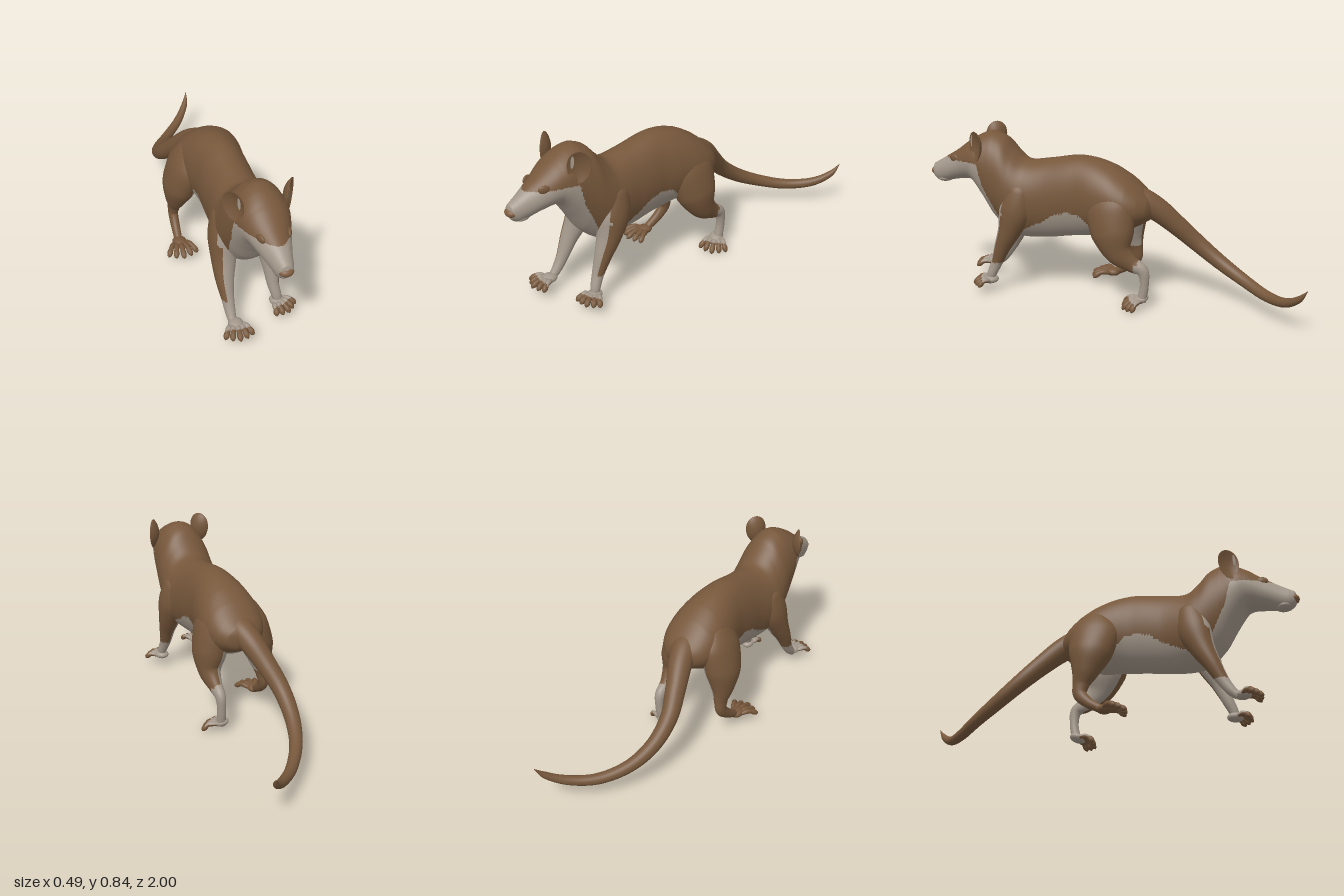
import * as THREE from 'three';

const brown = new THREE.MeshStandardMaterial({ color: 0x76573b });
brown.name = 'brown fur';
const pale = new THREE.MeshStandardMaterial({ color: 0xa3978a });
pale.name = 'pale fur';
const noseBrown = new THREE.MeshStandardMaterial({ color: 0x7f5d40 });
noseBrown.name = 'nose skin';

// Smooth loft through stations [x, y, z, halfWidth, halfDepth].
// isPale(point, cos, sin) picks the colour of each face.
function loft(name, stations, { steps = 8, sides = 32, isPale = () => false, upright = false } = {}) {
  const path = new THREE.CatmullRomCurve3(stations.map(s => new THREE.Vector3(s[0], s[1], s[2])));
  const size = new THREE.CatmullRomCurve3(stations.map(s => new THREE.Vector3(s[3], s[4] ?? s[3], 0)));
  const rings = (stations.length - 1) * steps;
  const points = [];
  for (let i = 0; i <= rings; i++) {
    const c = path.getPoint(i / rings), r = size.getPoint(i / rings);
    const t = upright ? new THREE.Vector3(0, 0, 1) : path.getTangent(i / rings);
    const side = new THREE.Vector3(1, 0, 0).addScaledVector(t, -t.x).normalize();
    const up = t.clone().cross(side);
    for (let j = 0; j < sides; j++) {
      const a = j / sides * Math.PI * 2;
      points.push(c.clone()
        .addScaledVector(side, Math.cos(a) * Math.max(r.x, 0.001))
        .addScaledVector(up, Math.sin(a) * Math.max(r.y, 0.001)));
    }
  }
  const faces = [[], []];
  for (let i = 0; i < rings; i++) {
    for (let j = 0; j < sides; j++) {
      const k = (j + 1) % sides, a = i * sides + j, b = i * sides + k, c = a + sides, d = b + sides;
      const angle = (j + 0.5) / sides * Math.PI * 2;
      for (const tri of [[a, b, c], [b, d, c]]) {
        const mid = new THREE.Vector3();
        tri.forEach(v => mid.addScaledVector(points[v], 1 / 3));
        faces[isPale(mid, Math.cos(angle), Math.sin(angle)) ? 1 : 0].push(...tri);
      }
    }
  }
  const g = new THREE.BufferGeometry().setFromPoints(points);
  g.setIndex([...faces[0], ...faces[1]]);
  g.addGroup(0, faces[0].length, 0);
  g.addGroup(faces[0].length, faces[1].length, 1);
  g.computeVertexNormals();
  const mesh = new THREE.Mesh(g, [brown, pale]);
  mesh.name = name;
  return mesh;
}

function ellipsoid(name, material, position, radii) {
  const mesh = new THREE.Mesh(new THREE.SphereGeometry(1, 24, 16), material);
  mesh.name = name;
  mesh.position.set(...position);
  mesh.scale.set(...radii);
  return mesh;
}

// Height of the line between pale underside and brown back, as [z, y]
const furLine = [[-0.2, 0.43], [-0.05, 0.38], [0.05, 0.36], [0.1, 0.41], [0.15, 0.455], [0.21, 0.465], [0.28, 0.45],
  [0.34, 0.405], [0.42, 0.365], [0.5, 0.335], [0.555, 0.35], [0.595, 0.43], [0.66, 0.56], [0.69, 0.675], [1.1, 0.675]];
function underside(p) {
  const i = Math.max(1, furLine.findIndex(q => q[0] > p.z));
  const [a, b] = [furLine[i - 1], furLine[i]];
  return p.y < THREE.MathUtils.mapLinear(p.z, a[0], b[0], a[1], b[1]);
}

// Five knuckled toes fanned out around a small paw, pitched towards the ground
function paw(name, [x, y, z], heading, length, paleTop, pitch = 0) {
  const group = new THREE.Group();
  group.name = name;
  const pad = ellipsoid(name + 'Pad', paleTop ? pale : brown, [0, 0, 0], [0.036, 0.022, 0.042]);
  group.add(pad);
  for (let i = -2; i <= 2; i++) {
    const a = i * 0.27, reach = length * (1 - Math.abs(i) * 0.08);
    const at = (d, h, r) => [i * 0.013 + Math.sin(a) * d, h, Math.cos(a) * d, r];
    group.add(loft('toe', [at(0.005, 0, 0.009), at(reach * 0.4, 0.006, 0.0135), at(reach * 0.65, 0.003, 0.012),
      at(reach * 0.85, -0.007, 0.0145), at(reach, -0.017, 0.01), at(reach * 1.06, -0.023, 0.001)],
      { steps: 3, sides: 12, isPale: (p, c, s) => paleTop && s > 0.2 && p.z < reach * 0.6 }));
  }
  group.position.set(x, y, z);
  group.rotation.set(pitch, heading, 0, 'YXZ');
  return group;
}

function ear(name, s) {
  const group = new THREE.Group();
  group.name = name;
  // shallow cupped shell, open towards the outside front
  const shell = new THREE.SphereGeometry(1, 28, 16);
  const p = shell.attributes.position;
  for (let i = 0; i < p.count; i++) {
    const x = p.getX(i), y = p.getY(i), r2 = x * x + y * y;
    const front = p.getZ(i) > 0 ? 0.1 : 0.28;
    p.setXYZ(i, x * 0.055 * (1 + 0.12 * y), y * 0.078, 0.045 * (p.getZ(i) * front + r2 * 0.45 - 0.3));
  }
  shell.computeVertexNormals();
  const outer = new THREE.Mesh(shell, brown);
  outer.name = name + 'Shell';
  // thin pale tuft along the inner rim
  const tuft = new THREE.Mesh(new THREE.CircleGeometry(0.02, 20), pale);
  tuft.name = name + 'PaleTuft';
  tuft.scale.set(0.4, 1.5, 1);
  tuft.position.set(-s * 0.032, 0.024, 0.007);
  group.add(outer, tuft);
  group.position.set(0.01 + s * 0.128, 0.763, 0.687);
  group.rotation.set(0, s * 0.93, -s * 0.1, 'YXZ');
  return group;
}

export function createModel() {
  const model = new THREE.Group();
  model.name = 'longTailedMammal';

  // Trunk, neck and head: [z, top, bottom, halfWidth]
  const profile = [[-0.2, 0.53, 0.45, 0.03], [-0.18, 0.555, 0.43, 0.085], [-0.14, 0.595, 0.405, 0.125],
    [-0.08, 0.645, 0.37, 0.15], [0, 0.692, 0.34, 0.157], [0.09, 0.722, 0.33, 0.147], [0.2, 0.73, 0.315, 0.132],
    [0.34, 0.705, 0.293, 0.133], [0.46, 0.693, 0.285, 0.15], [0.52, 0.738, 0.29, 0.152], [0.57, 0.793, 0.32, 0.148],
    [0.63, 0.822, 0.38, 0.139], [0.69, 0.812, 0.48, 0.13], [0.75, 0.78, 0.56, 0.113], [0.84, 0.715, 0.558, 0.08],
    [0.91, 0.672, 0.542, 0.056], [0.955, 0.645, 0.54, 0.043], [0.98, 0.63, 0.56, 0.03], [0.988, 0.61, 0.585, 0.006]];
  model.add(loft('body', profile.map(([z, top, bottom, w]) =>
    [0.012, (top + bottom) / 2, z, w, (top - bottom) / 2]), { steps: 10, sides: 96, isPale: underside, upright: true }));

  // Tail sweeping down, aside and up at the tip
  model.add(loft('tail', [[0.012, 0.54, -0.02, 0.05], [0.008, 0.525, -0.12, 0.068], [-0.015, 0.485, -0.2, 0.06],
    [-0.055, 0.395, -0.3, 0.05], [-0.088, 0.3, -0.4, 0.043], [-0.085, 0.212, -0.52, 0.037], [-0.04, 0.148, -0.65, 0.031],
    [0.05, 0.115, -0.78, 0.027], [0.15, 0.133, -0.885, 0.023], [0.213, 0.183, -0.957, 0.016], [0.236, 0.236, -0.998, 0.001]]));

  // Front legs: brown outside, pale at the front, inside and at the wrist
  const frontPaint = (s, lean, limit) => (p, c, f) =>
    p.y < 0.165 || (p.y > 0.44 ? f > 0.7 && p.y < 0.56 : c * s - f * lean < limit + Math.max(0, p.y - 0.3) * 1.5);
  model.add(loft('leftFrontLeg', [[0.09, 0.6, 0.46, 0.02], [0.103, 0.55, 0.47, 0.06, 0.07], [0.115, 0.45, 0.49, 0.073, 0.085],
    [0.122, 0.34, 0.525, 0.06, 0.06], [0.125, 0.25, 0.565, 0.042, 0.042], [0.125, 0.16, 0.6, 0.029],
    [0.135, 0.1, 0.625, 0.024], [0.14, 0.06, 0.635, 0.018]], { isPale: frontPaint(1, 0.6, 0.2) }));
  model.add(loft('rightFrontLeg', [[-0.065, 0.6, 0.47, 0.02], [-0.08, 0.55, 0.48, 0.06, 0.07], [-0.093, 0.45, 0.5, 0.071, 0.085],
    [-0.105, 0.34, 0.54, 0.06, 0.06], [-0.115, 0.25, 0.585, 0.045, 0.042], [-0.115, 0.16, 0.63, 0.03],
    [-0.115, 0.1, 0.67, 0.024], [-0.115, 0.07, 0.7, 0.018]], { isPale: frontPaint(-1, 0.2, 0.1) }));

  // Hind legs: broad thigh, raised heel
  model.add(loft('leftHindLeg', [[0.07, 0.63, 0.02, 0.02], [0.082, 0.575, 0.01, 0.062, 0.09], [0.106, 0.49, -0.005, 0.08, 0.125],
    [0.125, 0.38, -0.025, 0.082, 0.11], [0.138, 0.29, -0.06, 0.055, 0.07], [0.135, 0.235, -0.125, 0.034, 0.042],
    [0.134, 0.205, -0.18, 0.026, 0.03], [0.132, 0.13, -0.19, 0.022], [0.13, 0.045, -0.175, 0.024]],
    { isPale: (p, c) => p.z < -0.16 || (p.y < 0.24 && p.z < -0.14) || (p.y < 0.46 && c < -0.35) }));
  model.add(loft('rightHindLeg', [[-0.055, 0.63, 0.02, 0.02], [-0.075, 0.575, 0.01, 0.062, 0.09], [-0.106, 0.49, 0, 0.08, 0.125],
    [-0.134, 0.38, -0.015, 0.081, 0.11], [-0.148, 0.285, -0.035, 0.055, 0.07], [-0.152, 0.215, -0.055, 0.031, 0.042],
    [-0.156, 0.165, -0.058, 0.025, 0.034], [-0.16, 0.115, -0.015, 0.023, 0.026], [-0.165, 0.075, 0.045, 0.02]],
    { isPale: (p, c) => p.y > 0.24 && p.y < 0.46 && c > 0.35 }));

  model.add(
    paw('leftFrontPaw', [0.138, 0.07, 0.633], 0.4, 0.08, true),
    paw('rightFrontPaw', [-0.108, 0.078, 0.72], -0.1, 0.09, true),
    paw('leftHindPaw', [0.127, 0.054, -0.168], 0.55, 0.095, true, 0.28),
    paw('rightHindPaw', [-0.166, 0.068, 0.07], -0.08, 0.105, false));

  // Face
  for (const s of [1, -1]) {
    const side = s > 0 ? 'left' : 'right';
    model.add(ear(side + 'Ear', s));
    const eye = ellipsoid(side + 'Eye', brown, [0.013 + s * 0.067, 0.681, 0.838], [0.01, 0.02, 0.028]);
    eye.rotation.y = -s * 0.35;
    model.add(eye);
  }
  model.add(
    ellipsoid('nose', noseBrown, [0.012, 0.591, 0.974], [0.034, 0.021, 0.026]),
    ellipsoid('lowerJaw', pale, [0.012, 0.557, 0.925], [0.04, 0.02, 0.045]));
  return model;
}
